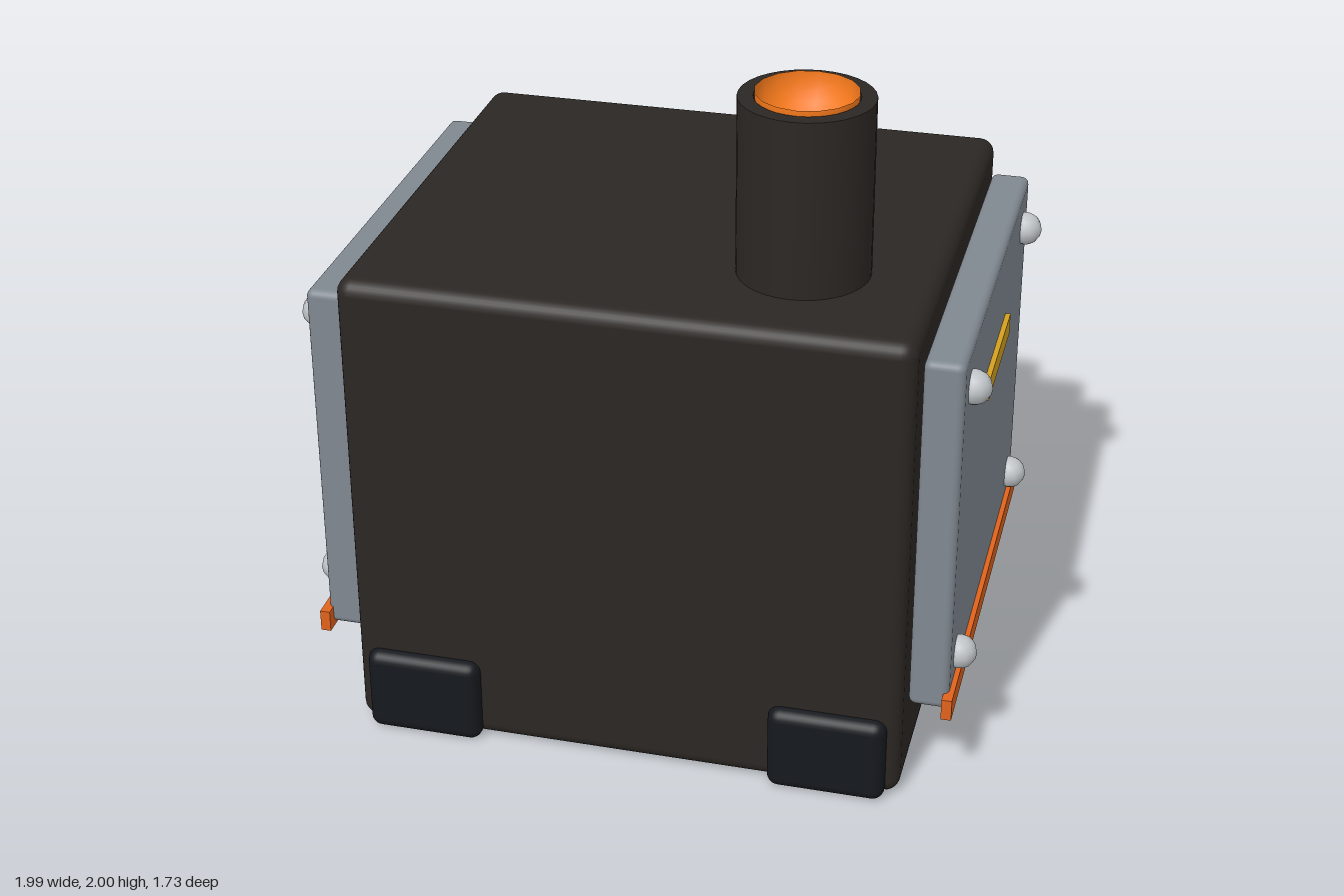
import * as THREE from 'three';
import { RoundedBoxGeometry } from 'three/addons/geometries/RoundedBoxGeometry.js';

const mat = (color, side = THREE.FrontSide) => new THREE.MeshStandardMaterial({ color, side });

export function createModel() {
  const model = new THREE.Group();
  const iron = mat(0x2b2724), rubber = mat(0x15181d), steel = mat(0x808890);
  const orange = mat(0xe0621c), brass = mat(0xd4a020), rivetGrey = mat(0xc0c4c8);
  const red = mat(0xe0263f), glow = mat(0xf97b1c, THREE.DoubleSide);

  const add = (parent, name, geometry, material, x, y, z) => {
    const mesh = new THREE.Mesh(geometry, material);
    mesh.name = name;
    mesh.position.set(x, y, z);
    parent.add(mesh);
    return mesh;
  };
  const box = (w, h, d) => new THREE.BoxGeometry(w, h, d);
  const rounded = (w, h, d, r) => new RoundedBoxGeometry(w, h, d, 3, r);

  // Main body
  add(model, 'body', rounded(1.63, 1.46, 1.46, 0.045), iron, 0, 0.735, 0.097);

  // Runners under the body, showing as feet at front and back
  for (const s of [-1, 1]) {
    add(model, 'footRunner', rounded(0.345, 0.265, 1.545, 0.035), rubber, s * 0.605, 0.1325, 0.0925);
  }

  // Hollow chimney with a glowing bowl in its mouth
  const pipe = [[0.19, 1.44], [0.19, 1.985], [0.146, 1.985], [0.146, 1.8], [0, 1.8]];
  const profile = pipe.flatMap(([r, y], i) =>
    // repeated corner points keep the rim sharp
    i > 0 && i < pipe.length - 1 ? [new THREE.Vector2(r, y), new THREE.Vector2(r, y)] : [new THREE.Vector2(r, y)]);
  add(model, 'chimney', new THREE.LatheGeometry(profile, 32), iron, 0.43, 0, 0.44);
  add(model, 'chimneyGlow',
    new THREE.SphereGeometry(0.145, 16, 8, 0, Math.PI * 2, Math.PI / 2, Math.PI / 2),
    glow, 0.43, 2.0, 0.44);

  // Firebox window, sloped top and red bar behind the back plate
  add(model, 'fireWindow', box(0.6, 0.43, 0.04), orange, 0, 0.61, -0.645);
  const slope = new THREE.Shape([
    new THREE.Vector2(0.62, 0.82), new THREE.Vector2(0.655, 0.82), new THREE.Vector2(0.632, 0.91),
    new THREE.Vector2(0.62, 0.91)]);
  const hood = add(model, 'fireHood',
    new THREE.ExtrudeGeometry(slope, { depth: 0.5, bevelEnabled: false }), iron, -0.25, 0, 0);
  hood.rotation.y = Math.PI / 2;
  add(model, 'redBar', box(1.025, 0.055, 0.04), red, 0, 1.213, -0.645);

  // Armour plate facing local +z, with lower trim, brass tag and rivets
  const makePlate = (name, x, z, angle) => {
    const g = new THREE.Group();
    g.name = name;
    add(g, 'plate', rounded(1.285, 1.11, 0.115, 0.022), steel, 0, 0.825, 0);
    add(g, 'plateTrim', box(1.345, 0.066, 0.03), orange, 0, 0.292, 0.0575);
    add(g, 'brassTag', box(0.43, 0.065, 0.03), brass, 0, 1.083, 0.0575);
    for (const rx of [-0.52, 0.52]) for (const ry of [0.395, 1.257]) {
      add(g, 'rivet', new THREE.SphereGeometry(0.05, 12, 8), rivetGrey, rx, ry, 0.0675);
    }
    g.position.set(x, 0, z);
    g.rotation.y = angle;
    model.add(g);
  };
  makePlate('leftPlate', 0.8775, 0.097, Math.PI / 2);
  makePlate('rightPlate', -0.8775, 0.097, -Math.PI / 2);
  makePlate('backPlate', 0, -0.7525, Math.PI);

  return model;
}
